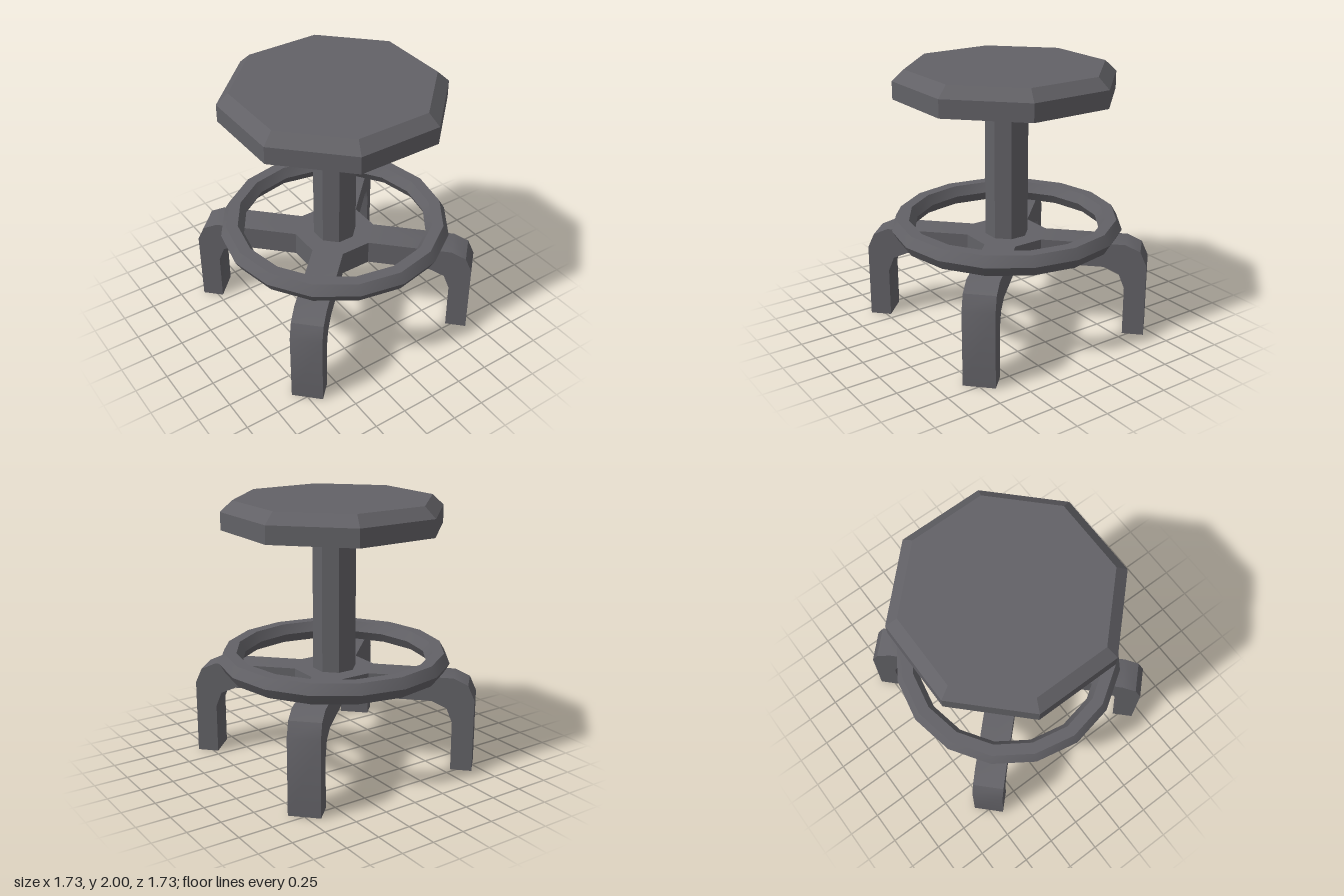
import * as THREE from 'three';
import { toCreasedNormals } from 'three/addons/utils/BufferGeometryUtils.js';

const darkGrey = new THREE.MeshStandardMaterial({ color: 0x626166 });
darkGrey.name = 'dark grey';

function part(name, geometry) {
  const mesh = new THREE.Mesh(toCreasedNormals(geometry, 0.52), darkGrey);
  mesh.name = name;
  return mesh;
}

// Eight-sided prism given by the distance from its axis to the top and bottom flats
function octagon(topFlat, bottomFlat, y0, y1, open = false) {
  const k = 1 / Math.cos(Math.PI / 8);
  const g = new THREE.CylinderGeometry(topFlat * k, bottomFlat * k, y1 - y0, 8, 1, open);
  return g.rotateY(Math.PI / 8).translate(0, (y0 + y1) / 2, 0);
}

export function createModel() {
  const stool = new THREE.Group();
  stool.name = 'stool';

  // Bevelled seat
  const k = 1 / Math.cos(Math.PI / 8);
  const seatProfile = [[0, 1.79], [0.76, 1.79], [0.76, 1.92], [0.68, 2], [0, 2]]
    .map(([r, y]) => new THREE.Vector2(r * k, y));
  stool.add(part('seat', new THREE.LatheGeometry(seatProfile, 8).rotateY(Math.PI / 8)));

  // Column and the hub that carries the legs
  stool.add(part('column', octagon(0.15, 0.15, 0.72, 1.79)));
  stool.add(part('hub', octagon(0.28, 0.28, 0.535, 0.72)));

  // Foot ring with a hexagonal section
  const ring = new THREE.TorusGeometry(0.78, 0.086, 6, 16);
  stool.add(part('footRing', ring.rotateX(Math.PI / 2).translate(0, 0.795, 0)));

  // Four bent legs on the diagonals, profile as distance from the axis and height
  const width = 0.23;
  const legShape = new THREE.Shape([
    [0.28, 0.535], [0.749, 0.535], [0.862, 0.485], [0.905, 0.375], [0.905, 0],
    [1.063, 0], [1.063, 0.56], [1.014, 0.67], [0.905, 0.72], [0.28, 0.72],
  ].map(([d, y]) => new THREE.Vector2(d, y)));
  for (let i = 0; i < 4; i++) {
    const leg = new THREE.ExtrudeGeometry(legShape, { depth: width, bevelEnabled: false });
    leg.translate(0, 0, -width / 2).rotateY(Math.PI / 4 + i * Math.PI / 2);
    stool.add(part('leg' + (i + 1), leg));
  }

  return stool;
}
